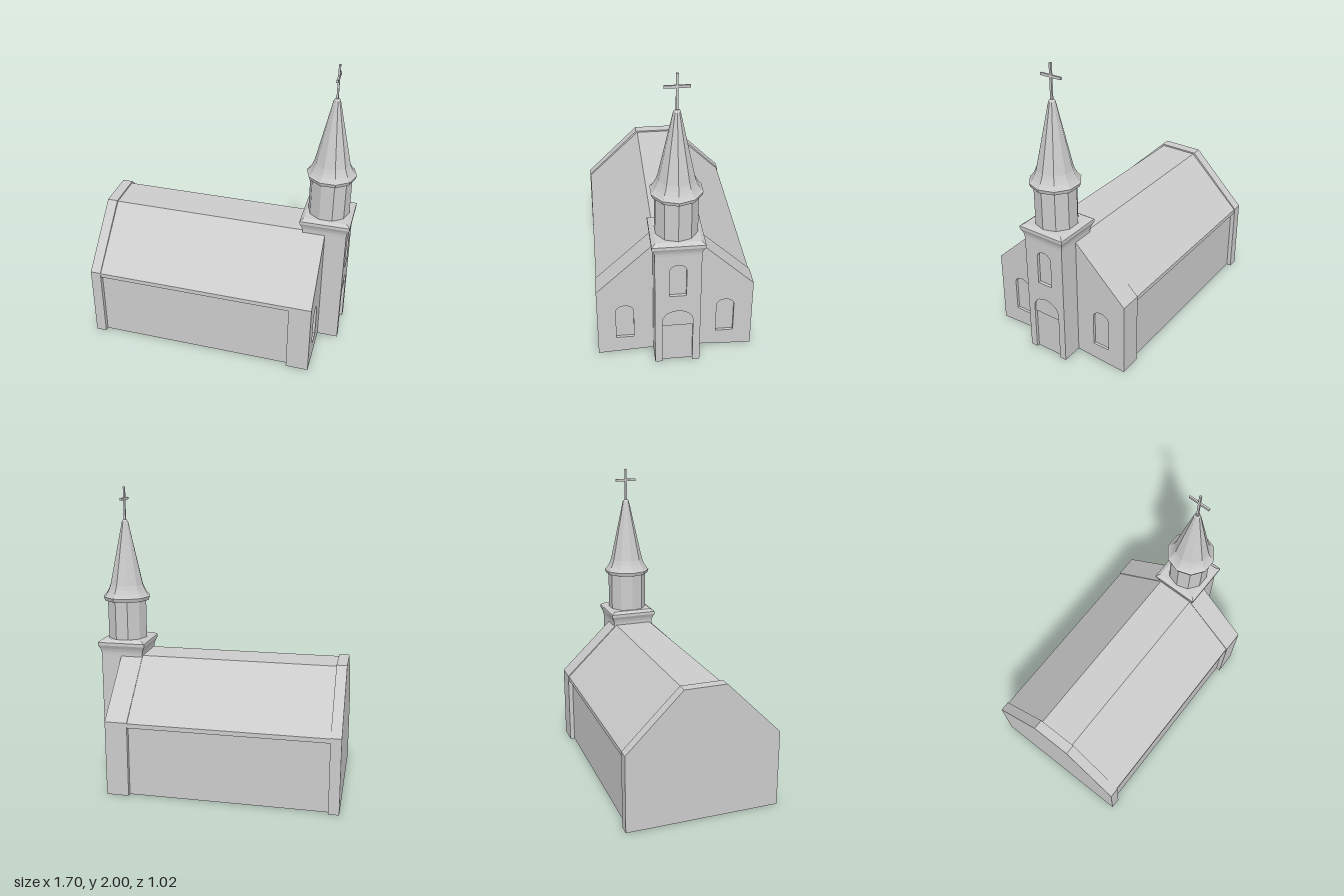
import * as THREE from 'three';

const TOWER_X = 0.685;
const grey = new THREE.MeshStandardMaterial({ color: 0xcccccc, flatShading: true });

const toPath = (pts, Type = THREE.Shape) => new Type(pts.map(([a, b]) => new THREE.Vector2(a, b)));

// Mirrors the +z half of an outline (listed bottom to top) into a closed loop
const mirror = (half) => [...half, ...half.slice().reverse().map(([z, y]) => [-z, y])];

// Extrudes a (z, y) outline along x from x0 to x1
function extrudeX(shape, x0, x1) {
  const geo = new THREE.ExtrudeGeometry(shape, { depth: x1 - x0, bevelEnabled: false });
  return geo.rotateY(Math.PI / 2).translate(x0, 0, 0);
}

// Outline with a segmental arched top: springs at `spring`, peaks at `top`
function arched(cz, half, bottom, spring, top) {
  const rise = top - spring;
  const pts = [[cz - half, bottom], [cz + half, bottom]];
  for (let i = 0; i <= 10; i++) {
    const a = (i / 10) * Math.PI;
    pts.push([cz + half * Math.cos(a), spring + rise * Math.sin(a)]);
  }
  return pts;
}

// Faceted solid of revolution from [radius, height] points
function faceted(points, sides, phase) {
  const profile = points.map(([r, y]) => new THREE.Vector2(r, y));
  return new THREE.LatheGeometry(profile, sides, phase);
}

export function createModel() {
  const church = new THREE.Group();
  church.name = 'church';
  const add = (name, geo, parent = church) => {
    const mesh = new THREE.Mesh(geo, grey);
    mesh.name = name;
    parent.add(mesh);
    return mesh;
  };
  const group = (name) => {
    const g = new THREE.Group();
    g.name = name;
    church.add(g);
    return g;
  };

  // Nave: hollow shell with overhanging roof, open underneath
  const inner = [[0.44, 0], [0.44, 0.475], [0.115, 0.82]];
  const innerBack = mirror(inner).reverse();
  const shell = (half) => toPath([...mirror(half), ...innerBack]);
  add('naveWallsAndRoof', extrudeX(
    shell([[0.48, 0], [0.48, 0.475], [0.505, 0.475], [0.505, 0.505], [0.13, 0.868]]), -0.78, 0.54));

  // Rear gable
  const rear = [[0.51, 0], [0.51, 0.51], [0.14, 0.878]];
  add('rearGable', extrudeX(toPath(mirror(rear)), -0.85, -0.78));

  // Entrance gable: hollow return, backing wall, and a face pierced by windows
  const entrance = group('entranceGable');
  const gable = [[0.14, 0.02], [0.51, 0], [0.51, 0.51], [0.14, 0.864]];
  add('gableReturn', extrudeX(shell(gable.slice(1)), 0.54, 0.62), entrance);
  add('gableWall', extrudeX(toPath(mirror(gable)), 0.62, 0.672), entrance);
  const face = toPath(mirror(gable));
  for (const s of [-1, 1]) {
    face.holes.push(toPath(arched(s * 0.33, 0.058, 0.125, 0.345, 0.39), THREE.Path));
  }
  add('gableFaceWithWindows', extrudeX(face, 0.672, 0.69), entrance);

  // Tower: core, plus a face with a window opening and a doorway notch
  const tower = group('tower');
  const w = 0.145;
  add('towerBase', new THREE.BoxGeometry(0.19, 0.85, 2 * w).translate(0.715, 0.445, 0), tower);
  add('towerUpper', new THREE.BoxGeometry(0.26, 0.12, 2 * w).translate(0.67, 0.81, 0), tower);
  const doorArch = arched(0, 0.098, 0.02, 0.36, 0.44);
  const front = toPath([
    [-w, 0.02], doorArch[0], ...doorArch.slice(2).reverse(), doorArch[1], [w, 0.02], [w, 0.87], [-w, 0.87],
  ]);
  front.holes.push(toPath(arched(0, 0.053, 0.56, 0.755, 0.80), THREE.Path));
  add('towerFace', extrudeX(front, 0.81, 0.83), tower);
  add('doorTympanum', extrudeX(toPath(arched(0, 0.098, 0.315, 0.36, 0.44)), 0.805, 0.82), tower);

  // Square flared cornice on the tower
  const cornice = [[0.145, 0.87], [0.147, 0.89], [0.153, 0.91], [0.165, 0.933], [0.165, 0.953], [0.14, 0.97], [0, 0.97]];
  const corniceGeo = faceted(cornice.map(([h, y]) => [h * Math.SQRT2, y]), 4, Math.PI / 4);
  add('cornice', corniceGeo, tower).position.x = TOWER_X;

  // Ten-sided belfry and flared spire
  const steeple = group('steeple');
  steeple.position.x = TOWER_X;
  add('belfry', faceted([[0.137, 0.965], [0.137, 1.24]], 10, Math.PI / 2), steeple);
  add('spire', faceted([
    [0, 1.233], [0.156, 1.233], [0.164, 1.258], [0.155, 1.264], [0.14, 1.285], [0.127, 1.31],
    [0.116, 1.338], [0.027, 1.745], [0.022, 1.768], [0.012, 1.78], [0, 1.782],
  ], 10, Math.PI / 2), steeple);

  // Finial cross
  add('crossUpright', new THREE.BoxGeometry(0.012, 0.23, 0.014).translate(0, 1.885, 0), steeple);
  add('crossArm', new THREE.BoxGeometry(0.012, 0.016, 0.15).translate(0, 1.92, 0), steeple);

  return church;
}
